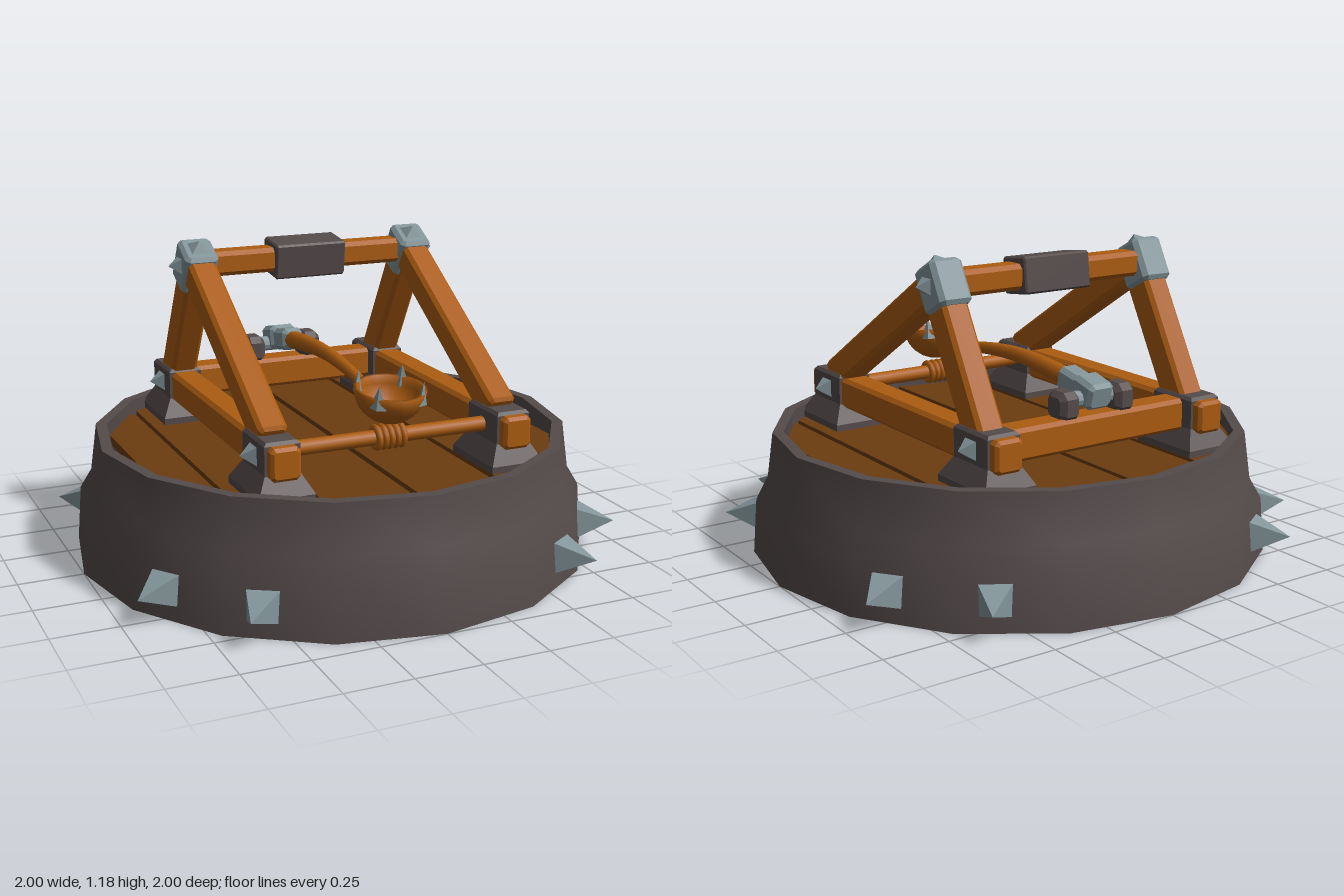
import * as THREE from 'three';

const mat = (name, color, flat = false) => {
  const m = new THREE.MeshStandardMaterial({ color, flatShading: flat });
  m.name = name;
  return m;
};

export function createModel() {
  const iron = mat('dark iron', 0x554b4b);
  const wood = mat('orange wood', 0xab5c10);
  const plankWood = mat('brown plank wood', 0x6c3d10);
  const steel = mat('pale steel', 0x83959a, true);

  const model = new THREE.Group();
  model.name = 'catapultPlatform';
  const V = (x, y, z) => new THREE.Vector3(x, y, z);

  const add = (name, geo, material, x = 0, y = 0, z = 0, parent = model) => {
    const m = new THREE.Mesh(geo, material);
    m.name = name;
    m.position.set(x, y, z);
    parent.add(m);
    return m;
  };

  // Bar with chamfered edges between two points
  const beam = (name, a, b, w, h, c, material) => {
    const p = w / 2 - c, q = h / 2 - c, k = c * 0.6, len = a.distanceTo(b);
    const s = new THREE.Shape([
      [p - k, -q], [p, -q + k], [p, q - k], [p - k, q],
      [-p + k, q], [-p, q - k], [-p, -q + k], [-p + k, -q],
    ].map(([x, y]) => new THREE.Vector2(x, y)));
    const geo = new THREE.ExtrudeGeometry(s, {
      depth: len - 2 * c, bevelEnabled: true, bevelSize: c, bevelThickness: c, bevelSegments: 1,
    });
    geo.center();
    const m = add(name, geo, material);
    m.position.copy(a).lerp(b, 0.5);
    m.quaternion.setFromUnitVectors(V(0, 0, 1), b.clone().sub(a).normalize());
    return m;
  };

  // Four-sided spike starting at a point and aimed along a direction
  const spike = (name, base, dir, half, height, parent = model) => {
    const geo = new THREE.ConeGeometry(half * Math.SQRT2, height, 4);
    geo.rotateY(Math.PI / 4);
    geo.translate(0, height / 2, 0);
    geo.rotateX(Math.PI / 2);
    const m = add(name, geo, steel, base.x, base.y, base.z, parent);
    m.lookAt(base.clone().add(dir));
    return m;
  };

  // Sixteen-sided iron base ring
  const ring = (name, pts) => add(name,
    new THREE.LatheGeometry(pts.map(([r, y]) => new THREE.Vector2(r, y)), 16), iron);
  ring('baseOuterWall', [[1, 0], [0.983, 0.21], [0.938, 0.285], [0.912, 0.47]]);
  ring('baseRim', [[0.912, 0.47], [0.87, 0.47]]);
  ring('baseInnerWall', [[0.87, 0.47], [0.87, 0.38]]);
  ring('baseUnderWall', [[0.87, 0.38], [0.93, 0.24], [0.985, 0]]);

  // Spikes around the base
  for (const sx of [-1, 1]) for (const sz of [-1, 1]) for (const deg of [30.6, 53]) {
    const a = THREE.MathUtils.degToRad(deg);
    const dir = V(sx * Math.cos(a), 0, sz * Math.sin(a));
    spike('baseSpike', dir.clone().multiplyScalar(0.92).setY(0.113), dir, 0.078, 0.19);
  }

  // Deck planks, split at the corners of the ring
  const corner = (k) => [0.87 * Math.sin(k * Math.PI / 8), 0.87 * Math.cos(k * Math.PI / 8)];
  for (let k = -3; k < 3; k++) {
    const [x0, z0] = corner(k), [x1, z1] = corner(k + 1), g = 0.012;
    const s = new THREE.Shape([[x0 + g, -z0], [x1 - g, -z1], [x1 - g, z1], [x0 + g, z0]]
      .map(([x, y]) => new THREE.Vector2(x, y)));
    const geo = new THREE.ExtrudeGeometry(s, { depth: 0.035, bevelEnabled: false });
    geo.rotateX(-Math.PI / 2);
    add('deckPlank', geo, plankWood, 0, 0.385, 0);
    if (k > -3) {
      add('plankJoint', new THREE.BoxGeometry(2 * g, 0.03, 2 * z0 - 0.01), plankWood, x0, 0.385, 0);
    }
  }

  // Flared iron bracket made from stacked rectangles
  const bracketGeo = () => {
    const rows = [[0.4, 0.105, 0.15], [0.445, 0.105, 0.15], [0.515, 0.066, 0.106],
      [0.62, 0.066, 0.106], [0.632, 0.056, 0.096]];
    const pos = [], idx = [];
    for (const [y, hx, hz] of rows) pos.push(-hx, y, hz, hx, y, hz, hx, y, -hz, -hx, y, -hz);
    for (let r = 0; r < rows.length - 1; r++) for (let i = 0; i < 4; i++) {
      const a = r * 4 + i, b = r * 4 + (i + 1) % 4;
      idx.push(a, b, b + 4, a, b + 4, a + 4);
    }
    const t = (rows.length - 1) * 4;
    idx.push(t, t + 1, t + 2, t, t + 2, t + 3);
    const g = new THREE.BufferGeometry();
    g.setAttribute('position', new THREE.Float32BufferAttribute(pos, 3));
    g.setIndex(idx);
    const flat = g.toNonIndexed();
    flat.computeVertexNormals();
    return flat;
  };

  // Side frames: rails, legs, brackets and apex caps
  for (const s of [-1, 1]) {
    const x = s * 0.45;
    beam('sideRail', V(x, 0.56, -0.67), V(x, 0.56, 0.67), 0.112, 0.12, 0.012, wood);
    beam('longLeg', V(x, 0.61, 0.53), V(x, 1.08, -0.23), 0.108, 0.115, 0.012, wood);
    beam('shortLeg', V(x, 0.59, -0.515), V(x, 1.09, -0.235), 0.106, 0.125, 0.012, wood);
    for (const z of [-0.525, 0.525]) {
      add('cornerBracket', bracketGeo(), iron, x, 0, z);
      spike('bracketSpike', V(s * 0.514, 0.565, z), V(s, 0, 0), 0.035, 0.053);
    }
    const up = V(0, Math.cos(0.5), Math.sin(0.5));
    const mid = V(x, 1.08, -0.255);
    beam('apexCap', mid.clone().addScaledVector(up, -0.085), mid.clone().addScaledVector(up, 0.085),
      0.132, 0.14, 0.014, steel);
    spike('apexTopSpike', mid.clone().addScaledVector(up, 0.084), up, 0.035, 0.035);
    spike('apexSideSpike', V(s * 0.514, 1.087, -0.25), V(s, 0, 0), 0.03, 0.046);
  }

  // Cross members
  const cyl = (name, r, len, sides, material, x, y, z) => {
    const g = new THREE.CylinderGeometry(r, r, len, sides);
    g.rotateZ(Math.PI / 2);
    return add(name, g, material, x, y, z);
  };
  beam('topCrossbar', V(-0.42, 1.088, -0.25), V(0.42, 1.088, -0.25), 0.1, 0.095, 0.014, wood);
  beam('crossbarPad', V(-0.145, 1.088, -0.25), V(0.145, 1.088, -0.25), 0.14, 0.136, 0.006, iron)
    .rotateZ(0.12);
  beam('rearCrossbeam', V(-0.42, 0.56, -0.525), V(0.42, 0.56, -0.525), 0.112, 0.12, 0.012, wood);
  cyl('frontAxle', 0.028, 0.84, 10, wood, 0, 0.565, 0.52);

  // Rope coil on the front axle
  for (let i = -2; i <= 2; i++) {
    const g = new THREE.TorusGeometry(0.036, 0.013, 6, 14);
    g.rotateY(Math.PI / 2);
    add('ropeCoil', g, wood, i * 0.024, 0.565, 0.52);
  }

  // Pivot lugs, hub and sleeve at the back of the arm
  for (const s of [-1, 1]) {
    beam('pivotLug', V(s * 0.08, 0.66, -0.525), V(s * 0.165, 0.66, -0.525), 0.11, 0.11, 0.02, iron);
  }
  cyl('pivotPin', 0.03, 0.2, 10, steel, 0, 0.675, -0.525);
  beam('pivotHub', V(0, 0.682, -0.585), V(0, 0.71, -0.475), 0.11, 0.1, 0.014, steel);
  beam('armSleeve', V(0, 0.697, -0.5), V(0, 0.722, -0.37), 0.088, 0.088, 0.014, steel);

  // Bowed throwing arm, thinning towards the bowl
  const path = new THREE.CatmullRomCurve3([
    V(0, 0.705, -0.46), V(0, 0.727, -0.3), V(0, 0.742, -0.05), V(0, 0.725, 0.18), V(0, 0.692, 0.38),
  ]);
  const rows = 20, sides = 10;
  const arm = new THREE.TubeGeometry(path, rows, 1, sides);
  const p = arm.attributes.position, v = new THREE.Vector3();
  for (let i = 0; i < p.count; i++) {
    const u = Math.floor(i / (sides + 1)) / rows, c = path.getPointAt(u);
    v.fromBufferAttribute(p, i).sub(c).multiplyScalar(0.038 - 0.019 * u).add(c);
    p.setXYZ(i, v.x, v.y, v.z);
  }
  add('throwingArm', arm, wood);
  beam('armTip', V(0, 0.708, 0.31), V(0, 0.688, 0.41), 0.056, 0.05, 0.008, steel);

  // Tilted bowl with steel teeth on its lip
  const bowl = new THREE.Group();
  bowl.name = 'bowl';
  bowl.position.set(0, 0.748, 0.535);
  bowl.rotation.x = 0.14;
  model.add(bowl);
  const profile = [];
  for (let i = 0; i <= 6; i++) {
    const a = i / 6 * Math.PI / 2;
    profile.push(new THREE.Vector2(0.132 * Math.sin(a), -0.13 * Math.cos(a)));
  }
  for (let i = 6; i >= 0; i--) {
    const a = i / 6 * Math.PI / 2;
    profile.push(new THREE.Vector2(0.116 * Math.sin(a), -0.112 * Math.cos(a)));
  }
  add('bowlShell', new THREE.LatheGeometry(profile, 18), wood, 0, 0, 0, bowl);
  for (let i = 0; i < 4; i++) {
    const a = Math.PI / 4 + i * Math.PI / 2;
    const tooth = new THREE.ConeGeometry(0.032, 0.085, 4);
    tooth.scale(1, 1, 0.55);
    const m = add('bowlTooth', tooth, steel, 0.122 * Math.sin(a), 0.005, 0.122 * Math.cos(a), bowl);
    m.rotation.y = a;
  }
  return model;
}
